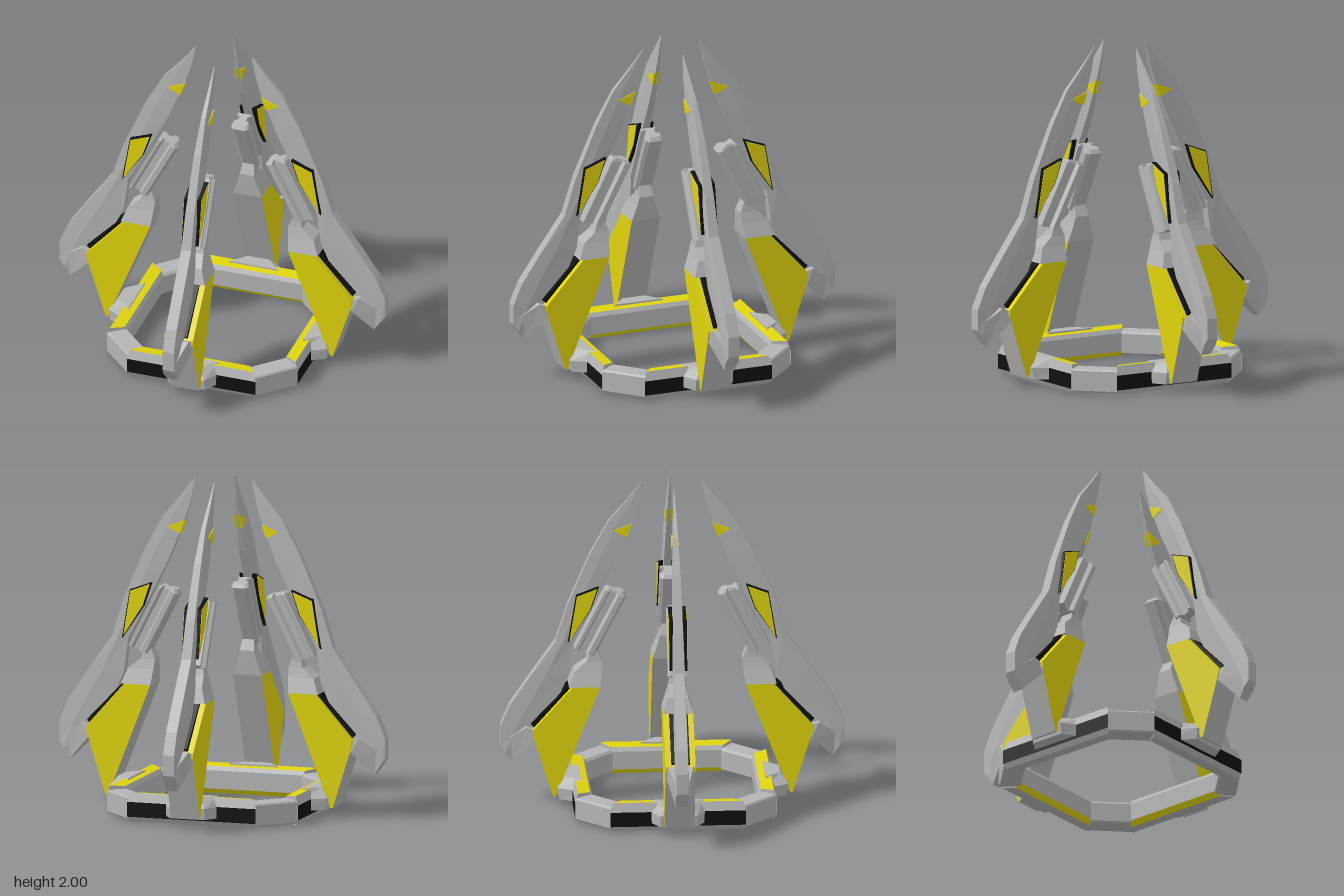
import * as THREE from 'three';

const mat = (name, color) => {
  const m = new THREE.MeshStandardMaterial({ color, flatShading: true });
  m.name = name;
  return m;
};

// Joins equal-length cross-sections of [x, y, z] corners into a closed solid.
// special maps a wall index to its own material.
function loft(name, sections, capMat, wallMat = capMat, special = {}) {
  const n = sections[0].length;
  const buckets = new Map();
  const quad = (m, a, b, c, d) => {
    if (!buckets.has(m)) buckets.set(m, []);
    buckets.get(m).push([a, b, c], [a, c, d]);
  };
  for (let s = 0; s < sections.length - 1; s++) {
    const p = sections[s], q = sections[s + 1];
    for (let i = 0; i < n; i++) {
      const j = (i + 1) % n;
      quad(special[i] || wallMat, p[i], p[j], q[j], q[i]);
    }
  }
  const first = sections[0], last = sections[sections.length - 1];
  for (let i = 0; i < n / 2 - 1; i++) {
    const a = i, b = i + 1, c = n - 2 - i, d = n - 1 - i;
    quad(capMat, first[d], first[c], first[b], first[a]);
    quad(capMat, last[a], last[b], last[c], last[d]);
  }
  // Turn the faces outward, whichever way the sections run
  const v = (p) => new THREE.Vector3(...p);
  let volume = 0;
  for (const tris of buckets.values())
    for (const [a, b, c] of tris) volume += v(a).dot(v(b).cross(v(c)));
  const geo = new THREE.BufferGeometry();
  const pos = [], mats = [];
  for (const [m, tris] of buckets) {
    geo.addGroup(pos.length / 3, tris.length * 3, mats.length);
    mats.push(m);
    for (const [a, b, c] of tris) pos.push(...a, ...(volume < 0 ? [...c, ...b] : [...b, ...c]));
  }
  geo.setAttribute('position', new THREE.Float32BufferAttribute(pos, 3));
  geo.computeVertexNormals();
  const mesh = new THREE.Mesh(geo, mats.length > 1 ? mats : mats[0]);
  mesh.name = name;
  return mesh;
}

// Flat part: outline of [outward, up] points, spanning sideways from x0 to x1
const slab = (name, pts, x0, x1, ...mats) =>
  loft(name, [x0, x1].map((x) => pts.map(([u, y]) => [x, y, u])), ...mats);

// Mirrored section between an inner and an outer point; widths are [fraction, half width]
function rib([u0, y0], [u1, y1], widths) {
  const at = ([f, w]) => [w, y0 + (y1 - y0) * f, u0 + (u1 - u0) * f];
  const side = widths.map(at);
  return [...side, ...side.map(([x, y, z]) => [-x, y, z]).reverse()];
}

export function createModel() {
  const grey = mat('grey metal', 0xb4b4b4);
  const yellow = mat('yellow paint', 0xded30c);
  const black = mat('black trim', 0x101010);

  // Each quarter is built facing +z, then turned onto its diagonal
  function claw() {
    const g = new THREE.Group();
    g.name = 'claw';

    // Curved blade: inner point, outer point, half thickness
    const stations = [
      [[0.177, 1.99], [0.181, 2.0], 0.002],
      [[0.205, 1.86], [0.275, 1.88], 0.009],
      [[0.245, 1.735], [0.38, 1.757], 0.014],
      [[0.335, 1.51], [0.49, 1.556], 0.022],
      [[0.49, 1.20], [0.625, 1.24], 0.028],
      [[0.595, 1.0], [0.696, 1.016], 0.031],
      [[0.62, 0.80], [0.845, 0.804], 0.033],
      [[0.70, 0.62], [0.97, 0.62], 0.034],
      [[0.81, 0.45], [1.025, 0.49], 0.035],
      [[0.955, 0.264], [1.025, 0.365], 0.035],
    ];
    g.add(loft('blade', stations.map(([a, b, t]) =>
      rib(a, b, [[0, t * 0.9], [0.6, t * 1.2], [1, t]])), grey));

    // Painted patch near the tip
    for (const s of [-1, 1])
      g.add(loft('tipPatch', [0.006, 0.02].map((x) => [
        [s * x, 1.737, 0.241], [s * (x + 0.002), 1.70, 0.345],
        [s * (x + 0.003), 1.69, 0.34], [s * (x + 0.002), 1.655, 0.27]]), yellow));

    // Raised side panels with black rims
    const panel = [[0.44, 1.355], [0.575, 1.305], [0.625, 1.01], [0.49, 1.21]];
    const inset = panel.map(([u, y]) => [0.535 + (u - 0.535) * 0.9, 1.22 + (y - 1.22) * 0.93]);
    for (const s of [-1, 1]) {
      g.add(slab('panelRim', panel, s * 0.015, s * 0.053, black));
      g.add(slab('panelFace', inset, s * 0.052, s * 0.056, yellow));
    }

    // Grooved barrel leaning along the blade
    const groove = [[0, 0.035], [0.12, 0.055], [0.35, 0.055], [0.45, 0.03],
      [0.75, 0.03], [0.85, 0.05], [1, 0.05]];
    const tip = groove.map(([f, w]) => [f, w * 0.8]);
    g.add(loft('barrel', [
      rib([0.465, 0.92], [0.585, 0.965], groove),
      rib([0.275, 1.29], [0.40, 1.33], groove),
      rib([0.29, 1.315], [0.385, 1.34], tip),
    ], grey));

    // Neck between leg and barrel
    const neck = [[0.434, 0.62, 0.74, 0.09], [0.425, 0.585, 0.83, 0.06],
      [0.42, 0.51, 0.89, 0.045], [0.45, 0.485, 0.96, 0.035]];
    g.add(loft('neck', neck.map(([a, b, y, t]) => rib([a, y], [b, y], [[0, t], [1, t]])), grey));

    // Wedge leg: yellow sides and top, grey inner and outer edges
    g.add(slab('leg', [[0.70, 0.06], [0.434, 0.74], [0.60, 0.74], [0.80, 0.515],
      [0.835, 0.475], [0.835, 0.44], [0.715, 0.06]], -0.09, 0.09, yellow, yellow,
    { 0: grey, 5: grey, 6: grey }));
    g.add(slab('legTrim', [[0.55, 0.70], [0.615, 0.745], [0.845, 0.505], [0.80, 0.46]],
      -0.055, 0.055, black));

    // Flared spur from the blade heel to the leg
    g.add(loft('heelSpur', [
      rib([0.955, 0.264], [1.0, 0.40], [[0, 0.034], [1, 0.034]]),
      rib([0.83, 0.40], [0.875, 0.49], [[0, 0.085], [1, 0.075]]),
      rib([0.80, 0.42], [0.82, 0.47], [[0, 0.08], [1, 0.075]]),
    ], grey));

    // Foot bracket on the ring
    const bracket = [[0.05, 0.19, 0.11, 0.68], [0.12, 0.19, 0.11, 0.69], [0.18, 0.15, 0.07, 0.64]];
    g.add(loft('footBracket', bracket.map(([y, w, n, u]) =>
      [[-w, y, 0.55], [-n, y, u], [n, y, u], [w, y, 0.55]]), grey));

    // Long ring side with mitred ends
    const profile = [[0.495, 0.03], [0.495, 0.14], [0.51, 0.165], [0.585, 0.175],
      [0.603, 0.12], [0.603, 0.03], [0.585, 0], [0.52, 0]];
    const end = (s) => profile.map(([u, y]) => [s * (0.403 + 0.74 * (u - 0.6)), y, u]);
    g.add(loft('ringSide', [end(-1), end(1)], grey, grey, { 2: yellow, 4: black, 7: yellow }));
    return g;
  }

  // Short ring side facing +z
  function ringLink() {
    const profile = [[0.578, 0.02], [0.578, 0.135], [0.59, 0.15], [0.70, 0.15],
      [0.708, 0.14], [0.708, 0.02], [0.70, 0.01], [0.59, 0.01]];
    const end = (s) => profile.map(([u, y]) => [s * (0.14 + 0.15 * (u - 0.71)), y, u]);
    return loft('ringLink', [end(-1), end(1)], grey);
  }

  const model = new THREE.Group();
  model.name = 'fourClawStand';
  for (let k = 0; k < 4; k++) {
    const c = claw();
    c.rotation.y = Math.PI / 4 + (k * Math.PI) / 2;
    const link = ringLink();
    link.rotation.y = (k * Math.PI) / 2;
    model.add(c, link);
  }
  return model;
}
